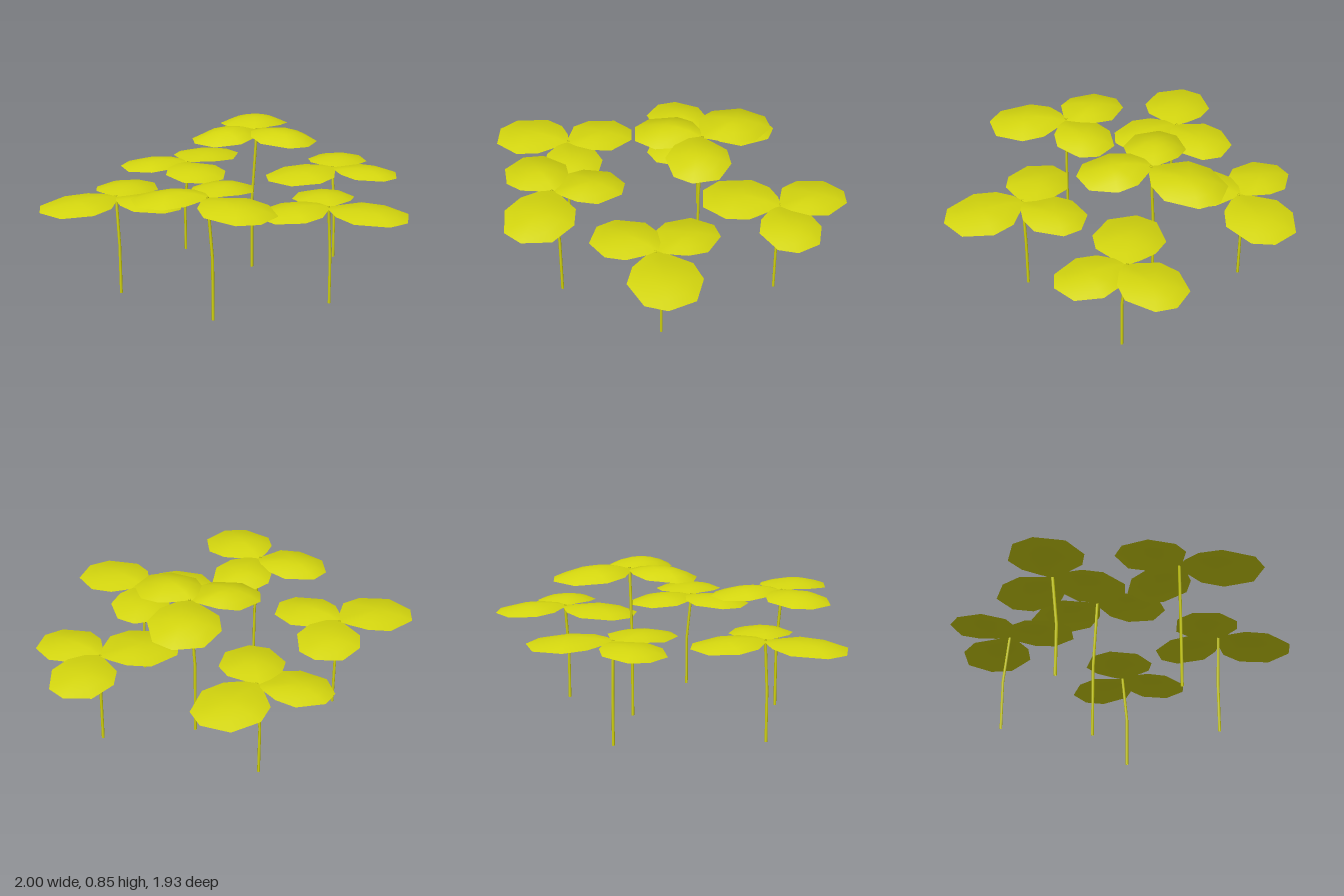
import * as THREE from 'three';

const rad = THREE.MathUtils.degToRad;

// Leaf outline as [distance from the leaf's tip, angle off its midrib]
const OUTLINE = [
  [0.01, 180], [0.198, -56], [0.305, -41], [0.412, -20], [0.444, 1],
  [0.412, 17], [0.294, 40], [0.182, 54], [0.08, 66],
];

// Gently arched blade: rises from the tip, then droops to the rim and the sides
const arch = (u, v) => 0.22 * u - 0.6 * u * u - 0.85 * v * v;

function leafGeometry() {
  const rim = OUTLINE.map(([r, a]) => [r * Math.cos(rad(a)), r * Math.sin(rad(a))]);
  const n = rim.length, centre = 0.24, rings = [0.33, 0.67, 1];
  const pos = [centre, arch(centre, 0), 0];
  for (const t of rings) {
    for (const [x, z] of rim) {
      const u = centre + (x - centre) * t, v = z * t;
      pos.push(u, arch(u, v), v);
    }
  }
  const index = [];
  for (let i = 0; i < n; i++) {
    const j = (i + 1) % n;
    index.push(0, 1 + j, 1 + i);
    for (let k = 0; k < rings.length - 1; k++) {
      const a = 1 + k * n + i, b = 1 + k * n + j;
      index.push(a, b, b + n, a, b + n, a + n);
    }
  }
  const g = new THREE.BufferGeometry();
  g.setAttribute('position', new THREE.Float32BufferAttribute(pos, 3));
  g.setIndex(index);
  g.computeVertexNormals();
  return g;
}

// Stem: upright lower half, leaning upper half
function stemGeometry() {
  const base = new THREE.Vector3(0, 0, 0);
  const bend = new THREE.Vector3(0, 0.28, 0);
  const top = new THREE.Vector3(0.01, 0.553, -0.026);
  const path = new THREE.CurvePath();
  path.add(new THREE.LineCurve3(base, bend));
  path.add(new THREE.LineCurve3(bend, top));
  return new THREE.TubeGeometry(path, 2, 0.008, 6, false);
}

export function createModel() {
  const model = new THREE.Group();
  model.name = 'cloverPatch';
  const green = new THREE.MeshStandardMaterial({ color: 0xd4d60e, side: THREE.DoubleSide });
  green.name = 'yellowGreen';

  const leafGeo = leafGeometry();
  const stemGeo = stemGeometry();

  // Three leaves per plant: [name, direction in degrees, size]
  const leaves = [['largeLeaf', 199, 1], ['middleLeaf', 331, 0.91], ['smallLeaf', 75, 0.87]];

  // Plants: [x, z, turn in degrees, height scale]
  const plants = [
    [-0.593, -0.437, 0, 1],
    [0.167, -0.655, 152, 1],
    [0.187, -0.15, 122, 1.5],
    [0.627, 0.113, 0, 1],
    [-0.557, 0.206, -95, 1.22],
    [0.02, 0.53, -120, 1],
  ];

  for (const [x, z, turn, height] of plants) {
    const plant = new THREE.Group();
    plant.name = 'clover';
    const stem = new THREE.Mesh(stemGeo, green);
    stem.name = 'stem';
    plant.add(stem);
    for (const [name, angle, size] of leaves) {
      const leaf = new THREE.Mesh(leafGeo, green);
      leaf.name = name;
      leaf.position.set(0.006, 0.55, -0.012);
      leaf.rotation.y = -rad(angle);
      leaf.scale.set(size, 1, size);
      plant.add(leaf);
    }
    plant.position.set(x, 0, z);
    plant.rotation.y = -rad(turn);
    plant.scale.y = height;
    model.add(plant);
  }
  return model;
}
